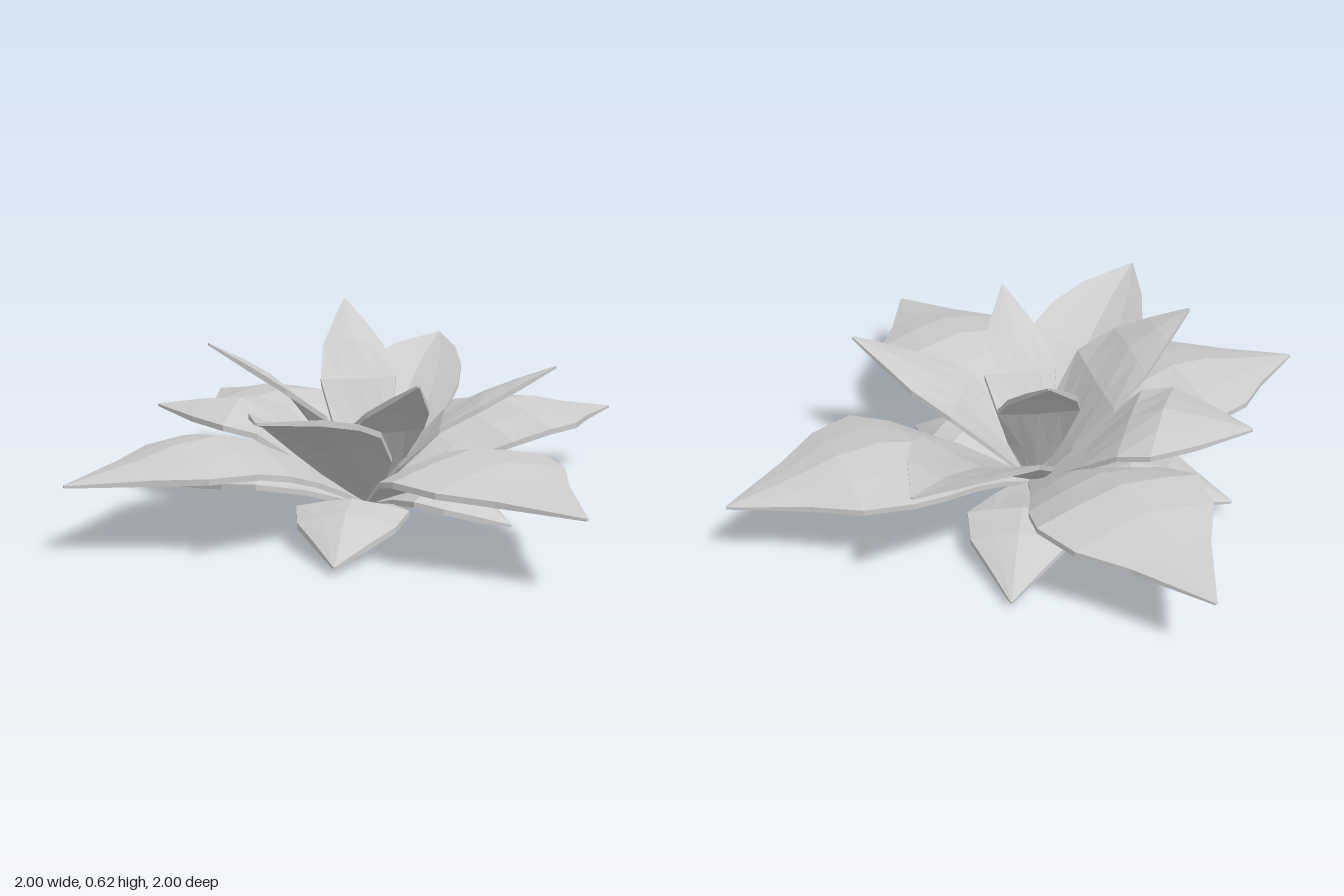
import * as THREE from 'three';

const material = new THREE.MeshStandardMaterial({ color: 0xcccccc, flatShading: true });

// Leaf outline and bend, one row per cross-section:
// [distance along, width share, spine height share, edge lift]
const PROFILES = {
  broad: [[0, 0.08, 0.07, 0], [0.15, 0.34, 0.55, -0.02], [0.27, 0.58, 0.93, -0.045], [0.4, 0.86, 1.22, -0.055], [0.52, 1, 1.37, -0.055], [0.66, 0.85, 1.33, -0.05], [0.79, 0.48, 1.18, -0.025], [1, 0.015, 1, 0]],
  low: [[0, 0.1, 0.02, 0], [0.28, 0.6, 0.075, 0], [0.5, 1, 0.13, -0.03], [0.68, 0.85, 0.125, -0.04], [0.83, 0.45, 0.085, -0.025], [1, 0.02, 0.03, 0]],
  middle: [[0, 0.12, 0.06, 0], [0.27, 0.85, 0.39, 0.06], [0.48, 1, 0.65, 0.06], [0.62, 0.88, 0.77, 0.05], [0.78, 0.58, 0.89, 0.03], [1, 0.02, 1, 0]],
  arched: [[0, 0.12, 0.06, 0], [0.27, 0.7, 0.55, 0.01], [0.45, 0.95, 0.93, -0.015], [0.6, 1, 1.1, -0.045], [0.78, 0.6, 1.07, -0.03], [1, 0.02, 1, 0]],
  inner: [[0, 0.2, 0.08, 0], [0.18, 0.7, 0.32, 0.025], [0.4, 1, 0.63, 0.005], [0.62, 0.82, 0.81, -0.015], [0.8, 0.45, 0.91, -0.01], [1, 0.03, 1, 0]],
};

// Thin leaf swept from the centre to its tip, as a closed shell of cross-sections
function leaf(name, profile, [tx, ty, tz], halfWidth, thickness = 0.018) {
  const length = Math.hypot(tx, tz);
  const px = -tz / length, pz = tx / length;
  const across = [-1, -0.5, 0, 0.5, 1];
  const n = across.length * 2;
  const rows = PROFILES[profile];
  const positions = [], index = [];

  rows.forEach(([t, w, h, lift], row) => {
    const y = profile === 'low' ? h + (ty - 0.03) * t : h * ty;
    const thick = row === rows.length - 1 ? thickness * 0.4 : thickness;
    for (let k = 0; k < n; k++) {
      const top = k < across.length;
      const s = across[top ? k : n - 1 - k];
      const side = s * w * halfWidth;
      const edge = lift * Math.pow(Math.abs(s), 1.3);
      positions.push(tx * t + px * side, y + edge - (top ? 0 : thick), tz * t + pz * side);
    }
  });

  // Skin between neighbouring cross-sections
  for (let i = 0; i < rows.length - 1; i++) {
    for (let k = 0; k < n; k++) {
      const a = i * n + k, b = i * n + (k + 1) % n;
      index.push(a, b, a + n, b, b + n, a + n);
    }
  }
  // Close the base and the tip
  const end = (rows.length - 1) * n;
  for (let k = 1; k < n - 1; k++) {
    index.push(0, k + 1, k, end, end + k, end + k + 1);
  }

  const indexed = new THREE.BufferGeometry();
  indexed.setAttribute('position', new THREE.Float32BufferAttribute(positions, 3));
  indexed.setIndex(index);
  const geometry = indexed.toNonIndexed();
  geometry.computeVertexNormals();
  const mesh = new THREE.Mesh(geometry, material);
  mesh.name = name;
  return mesh;
}

// Rings of leaves: tip position and half width
const RINGS = {
  broad: [
    [[1, 0.225, 0], 0.27],
    [[-1, 0.225, 0], 0.27],
    [[0.05, 0.225, 1], 0.275],
    [[-0.04, 0.225, -1], 0.275],
  ],
  low: [
    [[0.34, 0.025, -0.54], 0.17],
    [[-0.41, 0.025, 0.49], 0.17],
    [[-0.48, 0.05, -0.44], 0.17],
    [[0.23, 0.03, 0.45], 0.15],
  ],
  middle: [
    [[0.61, 0.455, -0.5], 0.19],
    [[-0.63, 0.455, 0.47], 0.19],
  ],
  arched: [
    [[-0.52, 0.32, -0.46], 0.21],
  ],
  inner: [
    [[0.155, 0.62, -0.41], 0.125],
    [[-0.5, 0.57, -0.1], 0.19],
    [[-0.11, 0.495, 0.45], 0.12],
    [[0.46, 0.48, 0.36], 0.14],
  ],
};

export function createModel() {
  const model = new THREE.Group();
  model.name = 'leafRosette';
  for (const [ring, leaves] of Object.entries(RINGS)) {
    const group = new THREE.Group();
    group.name = `${ring}Leaves`;
    leaves.forEach(([tip, halfWidth], i) => group.add(leaf(`${ring}Leaf${i + 1}`, ring, tip, halfWidth)));
    model.add(group);
  }
  return model;
}
